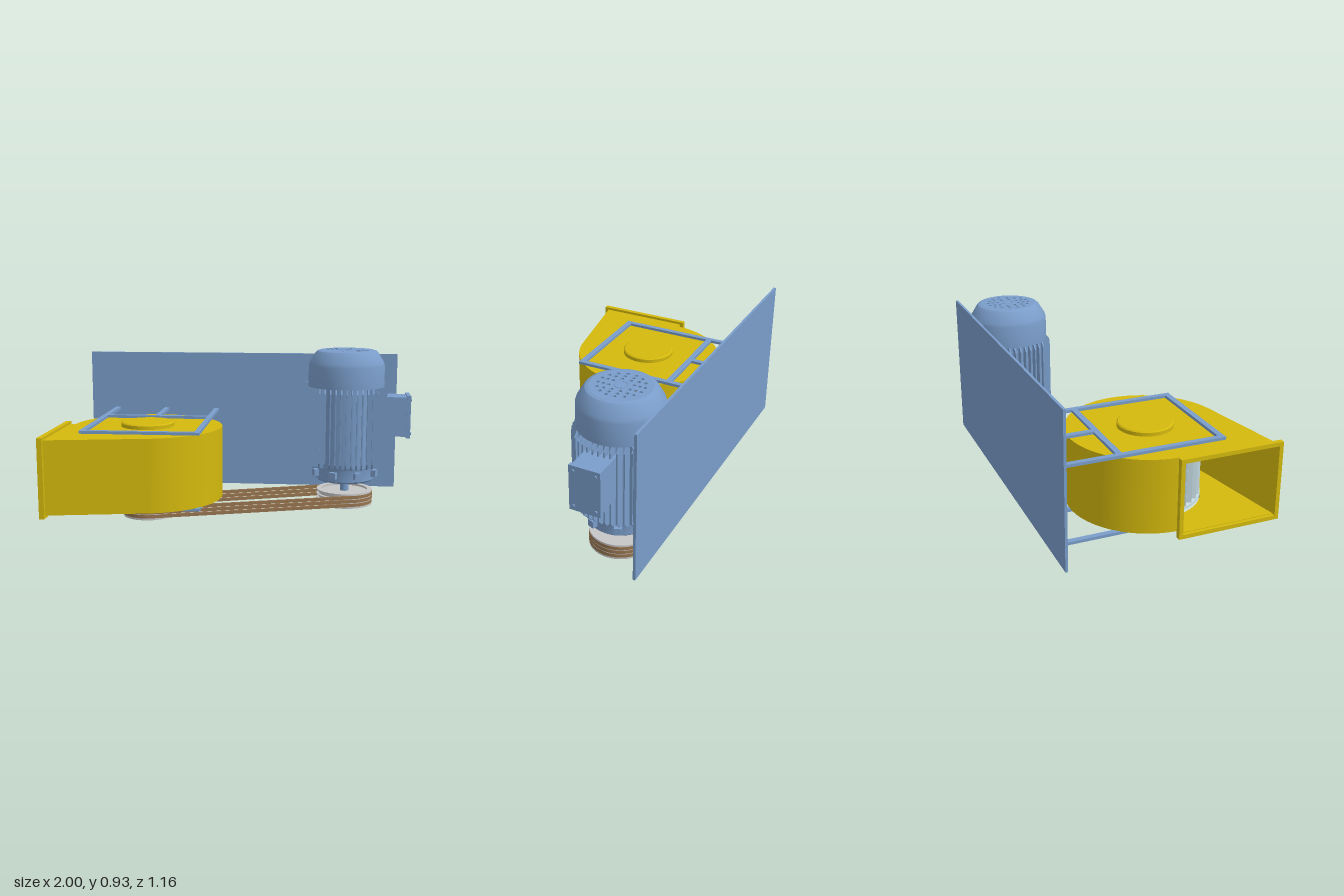
import * as THREE from 'three';
import { toCreasedNormals } from 'three/addons/utils/BufferGeometryUtils.js';

const mat = (name, color, side = THREE.FrontSide) => {
  const m = new THREE.MeshStandardMaterial({ color, side });
  m.name = name;
  return m;
};

export function createModel() {
  const model = new THREE.Group();
  model.name = 'beltDrivenBlower';
  const yellow = mat('housingYellow', 0xd4b90d, THREE.DoubleSide);
  const blue = mat('machineBlue', 0x7a9dca);
  const brown = mat('beltBrown', 0x987550);
  const grey = mat('pulleyGrey', 0xc6c6c6);
  const pale = mat('impellerPale', 0xc9e0e8, THREE.DoubleSide);

  const add = (name, geo, m, parent = model, x = 0, y = 0, z = 0) => {
    const mesh = new THREE.Mesh(geo, m);
    mesh.name = name;
    mesh.position.set(x, y, z);
    parent.add(mesh);
    return mesh;
  };
  // Box given by its min and max on each axis
  const box = (name, m, x0, x1, y0, y1, z0, z1, parent = model) =>
    add(name, new THREE.BoxGeometry(x1 - x0, y1 - y0, z1 - z0), m, parent,
      (x0 + x1) / 2, (y0 + y1) / 2, (z0 + z1) / 2);
  const cyl = (name, m, r, y0, y1, x, z, parent = model) =>
    add(name, new THREE.CylinderGeometry(r, r, y1 - y0, 40), m, parent, x, (y0 + y1) / 2, z);
  const lathe = (pts, seg = 64) => toCreasedNormals(
    new THREE.LatheGeometry(pts.map(p => new THREE.Vector2(...p)), seg), 0.4);
  // Plan outline (x, z) extruded between two heights
  const slab = (shape, y0, y1) => {
    const g = new THREE.ExtrudeGeometry(shape, { depth: y1 - y0, bevelEnabled: false, curveSegments: 24 });
    g.rotateX(Math.PI / 2).translate(0, y1, 0);
    return toCreasedNormals(g, 0.4);
  };
  const circle = (x, z, r) => new THREE.Path().absarc(x, z, r, 0, Math.PI * 2);

  const FX = -0.515, FZ = 0.042;   // fan axis
  const MX = 0.615, MZ = -0.345;   // motor axis

  // Scroll housing: curved wall, top plate, bottom plate with inlet
  const housing = new THREE.Group();
  housing.name = 'housing';
  model.add(housing);
  const wall = [];
  for (let i = 0; i <= 72; i++) {
    const a = Math.PI + (i / 72) * (Math.PI + 1.39);
    wall.push(new THREE.Vector2(FX + 0.425 * Math.cos(a), FZ + 0.425 * Math.sin(a)));
  }
  for (let i = 1; i <= 4; i++) {
    const p = wall[72].clone().lerp(new THREE.Vector2(-0.98, 0.558), i / 4);
    wall.push(p);
  }
  const outline = [new THREE.Vector2(-0.98, 0.03), new THREE.Vector2(-0.94, 0.03), ...wall];
  const ribbon = new THREE.PlaneGeometry(1, 0.4, wall.length - 1, 1);
  const rp = ribbon.attributes.position;
  for (let i = 0; i < rp.count; i++) {
    const p = wall[i % wall.length];
    rp.setXYZ(i, p.x, i < wall.length ? 0.12 : 0.52, p.y);
  }
  ribbon.computeVertexNormals();
  add('scrollWall', ribbon, yellow, housing);
  box('throatWall', yellow, -0.98, -0.935, 0.12, 0.52, 0.03, 0.042, housing);
  add('topPlate', slab(new THREE.Shape(outline), 0.51, 0.52), yellow, housing);
  const bottom = new THREE.Shape(outline);
  bottom.holes.push(circle(FX, FZ, 0.3));
  add('bottomPlate', slab(bottom, 0.115, 0.125), yellow, housing);
  add('bearingCap', lathe([[0.15, 0.51], [0.15, 0.54], [0.142, 0.546], [0, 0.546]]), yellow, housing, FX, 0, FZ);
  // Rectangular outlet flange
  for (const [y0, y1] of [[0.10, 0.122], [0.513, 0.535]])
    box('outletFlange', yellow, -1, -0.972, y0, y1, 0.01, 0.58, housing);
  for (const [z0, z1] of [[0.01, 0.032], [0.558, 0.58]])
    box('outletFlange', yellow, -1, -0.972, 0.122, 0.513, z0, z1, housing);

  // Impeller: back disc, blades and rim
  const impeller = new THREE.Group();
  impeller.name = 'impeller';
  impeller.position.set(FX, 0, FZ);
  model.add(impeller);
  cyl('impellerDisc', pale, 0.3, 0.47, 0.48, 0, 0, impeller);
  const rim = new THREE.Shape().absarc(0, 0, 0.3, 0, Math.PI * 2);
  rim.holes.push(circle(0, 0, 0.27));
  add('impellerRim', slab(rim, 0.14, 0.155), pale, impeller);
  for (let i = 0; i < 36; i++) {
    const a = i / 36 * Math.PI * 2;
    const b = add('blade', new THREE.BoxGeometry(0.045, 0.32, 0.004), pale, impeller,
      0.277 * Math.cos(a), 0.31, 0.277 * Math.sin(a));
    b.rotation.y = -a + 0.6;
  }
  cyl('fanShaft', grey, 0.03, 0.05, 0.5, FX, FZ);

  // Support frames above and below the housing
  for (const [y0, y1] of [[0.52, 0.536], [0.10, 0.116]]) {
    const frame = new THREE.Group();
    frame.name = 'supportFrame';
    model.add(frame);
    for (const x of [-0.825, -0.194]) box('sideRail', blue, x - 0.015, x + 0.015, y0, y1, -0.572, 0.342, frame);
    for (const z of [-0.237, 0.325]) box('crossRail', blue, -0.81, -0.209, y0, y1, z - 0.016, z + 0.016, frame);
    box('middleRail', blue, -0.525, -0.495, y0, y1, -0.572, -0.253, frame);
  }
  box('mountingPlate', blue, -0.99, 0.93, 0.05, 0.886, -0.585, -0.571);

  // Motor, built around its own vertical axis
  const motor = new THREE.Group();
  motor.name = 'motor';
  motor.position.set(MX, 0, MZ);
  model.add(motor);
  add('motorBody', lathe([[0, 0.135], [0.065, 0.135], [0.065, 0.15], [0.165, 0.15], [0.175, 0.16],
    [0.175, 0.22], [0.18, 0.24], [0.198, 0.245], [0.198, 0.72], [0, 0.72]]), blue, motor);
  add('fanCover', lathe([[0.19, 0.715], [0.225, 0.715], [0.225, 0.84], [0.219, 0.86], [0.186, 0.915],
    [0.176, 0.925], [0.16, 0.93]]), blue, motor);
  // Perforated cover top
  const grille = new THREE.Shape().absarc(0, 0, 0.16, 0, Math.PI * 2);
  for (const [n, r] of [[8, 0.062], [12, 0.09], [16, 0.118]])
    for (let i = 0; i < n; i++) {
      const a = (i + 0.5) / n * Math.PI * 2;
      grille.holes.push(circle(r * Math.cos(a), r * Math.sin(a), 0.0095));
    }
  add('coverGrille', slab(grille, 0.92, 0.93), blue, motor);
  add('grilleRing', new THREE.TorusGeometry(0.034, 0.002, 6, 24).rotateX(Math.PI / 2), blue, motor, 0, 0.93, 0);
  // Parallel cooling fins on four sides
  for (let k = 0; k < 4; k++) {
    const side = new THREE.Group();
    side.name = 'coolingFins';
    side.rotation.y = k * Math.PI / 2;
    motor.add(side);
    for (let i = -5; i <= 5; i++) {
      const t = i * 0.031;
      const R = Math.sqrt((k === 1 ? 0.222 : 0.245) ** 2 - t * t);
      const fin = new THREE.Shape([[0.11, 0.242], [R - 0.03, 0.242], [R, 0.275], [R, 0.69], [R - 0.025, 0.715],
        [0.11, 0.715]].map(p => new THREE.Vector2(...p)));
      add('fin', new THREE.ExtrudeGeometry(fin, { depth: 0.008, bevelEnabled: false }), blue, side, 0, 0, t - 0.004);
    }
  }
  // Lugs around the lower end bell
  for (let i = 0; i < 8; i++) {
    const a = i / 8 * Math.PI * 2 + Math.PI / 8;
    const lug = add('endBellLug', new THREE.BoxGeometry(0.05, 0.04, 0.04), blue, motor,
      0.178 * Math.cos(a), 0.2, 0.178 * Math.sin(a));
    lug.rotation.y = -a;
  }
  cyl('motorShaft', blue, 0.025, 0.05, 0.14, 0, 0, motor);
  // Feet fixed to the mounting plate
  for (const s of [-1, 1]) {
    const rib = add('footRib', new THREE.BoxGeometry(0.12, 0.42, 0.018), blue, motor, s * 0.175, 0.5, -0.165);
    rib.rotation.y = s * 0.82;
    for (const y of [0.347, 0.652]) {
      add('footPad', new THREE.BoxGeometry(0.095, 0.122, 0.028), blue, motor, s * 0.2, y, -0.212);
      add('footBolt', new THREE.CylinderGeometry(0.014, 0.014, 0.008, 16).rotateX(Math.PI / 2),
        blue, motor, s * 0.222, y, -0.196);
    }
  }
  // Terminal box with cover and screws
  const terminal = new THREE.Group();
  terminal.name = 'terminalBox';
  model.add(terminal);
  box('terminalBase', blue, 0.8, 0.97, 0.425, 0.66, -0.425, -0.265, terminal);
  box('terminalCover', blue, 0.97, 0.993, 0.415, 0.668, -0.43, -0.26, terminal);
  for (const y of [0.442, 0.641]) for (const z of [-0.405, -0.285])
    add('coverScrew', new THREE.CylinderGeometry(0.008, 0.008, 0.007, 16).rotateZ(Math.PI / 2),
      blue, terminal, 0.9965, y, z);

  // Grooved pulleys
  const R1 = 0.147, R2 = 0.167, groove = i => 0.0115 + i * 0.0235;
  for (const [name, R, x, z] of [['fanPulley', R1, FX, FZ], ['motorPulley', R2, MX, MZ]]) {
    const pts = [[0, 0.002], [0.045, 0.002], [0.045, 0.014], [R - 0.03, 0.014], [R - 0.03, 0], [R, 0]];
    for (let i = 0; i < 3; i++) {
      const y = groove(i);
      pts.push([R, y], [R - 0.014, y + 0.002], [R - 0.014, y + 0.017], [R, y + 0.019]);
    }
    pts.push([R, 0.088], [R - 0.03, 0.088], [R - 0.03, 0.076], [0, 0.076]);
    add(name, lathe(pts), grey, model, x, 0, z);
  }
  // Three belts wrapped around both pulleys
  const dx = MX - FX, dz = MZ - FZ, dir = Math.atan2(dz, dx);
  const phi = Math.acos((R1 - R2) / Math.hypot(dx, dz));
  const loop = (path, d) => path
    .absarc(FX, FZ, R1 + d, dir + phi, dir + Math.PI * 2 - phi)
    .absarc(MX, MZ, R2 + d, dir - phi, dir + phi)
    .closePath();
  const belt = loop(new THREE.Shape(), 0.001);
  belt.holes.push(loop(new THREE.Path(), -0.011));
  for (let i = 0; i < 3; i++) add('belt', slab(belt, groove(i), groove(i) + 0.019), brown);

  return model;
}
